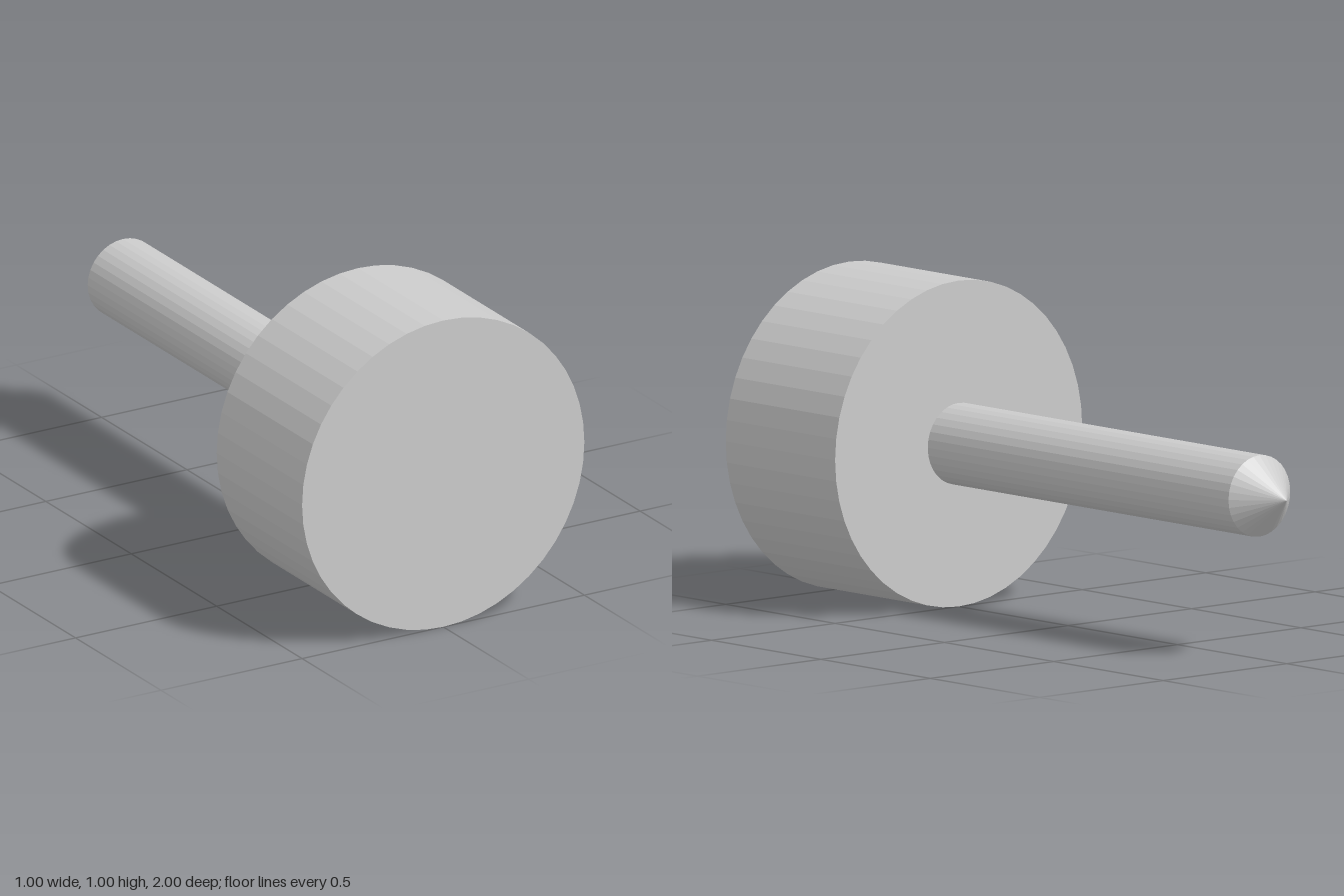
import * as THREE from 'three';

const AXIS_Y = 0.5;

export function createModel() {
  const model = new THREE.Group();
  model.name = 'pin';
  const material = new THREE.MeshStandardMaterial({ color: 0xcccccc, flatShading: true });

  // Adds a round part lying along z, from zFront back to zBack
  function addRound(name, rFront, rBack, zFront, zBack, sides, open) {
    const geometry = new THREE.CylinderGeometry(rBack, rFront, zFront - zBack, sides, 1, open);
    geometry.rotateX(-Math.PI / 2);
    const mesh = new THREE.Mesh(geometry, material);
    mesh.name = name;
    mesh.position.set(0, AXIS_Y, (zFront + zBack) / 2);
    model.add(mesh);
  }

  // Wide disc head at the front
  addRound('head', 0.5, 0.5, 1, 0.5, 48, false);
  // Slim shaft behind the head
  addRound('shaft', 0.125, 0.125, 0.5, -0.875, 32, true);
  // Conical point at the rear
  addRound('tip', 0.125, 0, -0.875, -1, 32, true);

  return model;
}
